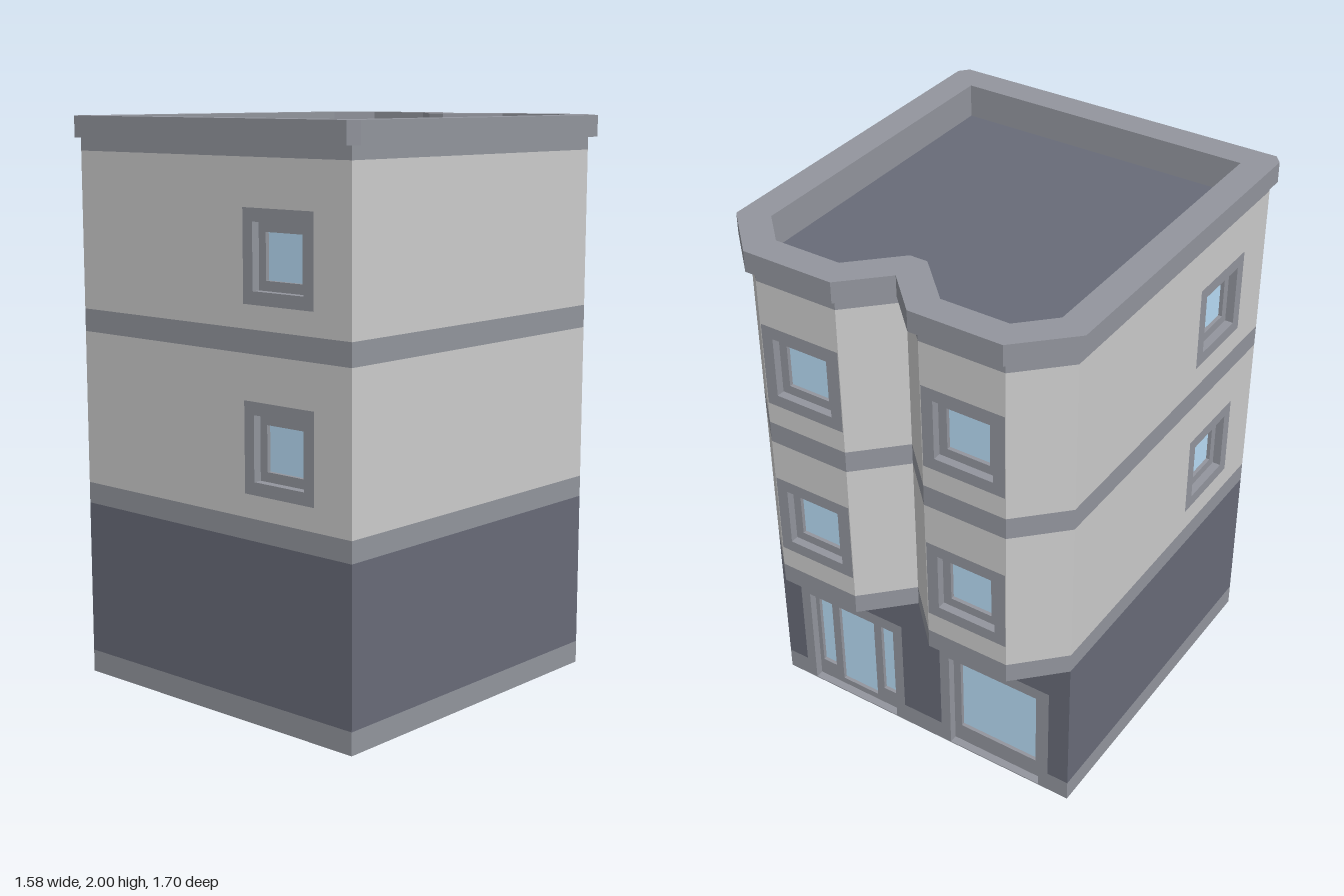
import * as THREE from 'three';
import { mergeGeometries } from 'three/addons/utils/BufferGeometryUtils.js';

const mat = (color, side = THREE.FrontSide) => new THREE.MeshStandardMaterial({ color, side });
const WALL = mat(0xcccccc), TRIM = mat(0x92959d), SLATE = mat(0x686b78), GLASS = mat(0xb8dcf6);
const SLATE_THIN = mat(0x686b78, THREE.DoubleSide);

const H = 0.626;        // half side of the square plan
const BAY = 0.783;      // depth of the bay fronts
const FLOOR = 0.63;     // underside of the upper storeys

// Plan points are [x, z]; right half listed from the side towards the middle, then mirrored.
const mirrored = half => [...half, ...half.filter(p => p[0] !== 0).reverse().map(([x, z]) => [-x, z])];
const groundPlan = mirrored([[H, H], [H, -H]]);
const upperPlan = mirrored([[H, H], [H, -H], [0.47, -BAY], [0.156, -BAY], [0, -H]]);
const capPlan = mirrored([[0.627, 0.653], [0.655, 0.62], [0.655, -0.641], [0.481, -0.814],
  [0.142, -0.814], [0, -0.673]]);
const innerPlan = mirrored([[0.547, 0.543], [0.547, -0.597], [0.437, -0.708], [0.189, -0.708], [0.033, -0.553]]);

const toVectors = (plan, s) => plan.map(([x, z]) => new THREE.Vector2(x, s * z));
const rect = (x0, y0, x1, y1) => [[x0, y0], [x1, y0], [x1, y1], [x0, y1]];

function shapeWithHoles(points, holes, s = 1) {
  const shape = new THREE.Shape(toVectors(points, s));
  holes.forEach(h => shape.holes.push(new THREE.Path(toVectors(h, s))));
  return shape;
}

function mesh(name, geometry, material) {
  const m = new THREE.Mesh(geometry, material);
  m.name = name;
  return m;
}

// Horizontal slab or ring standing on y
function slab(name, plan, holes, y, height, material) {
  const shape = shapeWithHoles(plan, holes, -1);
  const g = height
    ? new THREE.ExtrudeGeometry(shape, { depth: height, bevelEnabled: false })
    : new THREE.ShapeGeometry(shape);
  g.rotateX(-Math.PI / 2).translate(0, y, 0);
  return mesh(name, g, material);
}

// Upright plate with holes, its front at z
function plate(name, outline, holes, z, depth, material) {
  const g = new THREE.ExtrudeGeometry(shapeWithHoles(outline, holes), { depth, bevelEnabled: false });
  return mesh(name, g.translate(0, 0, z - depth), material);
}

// Surround, recessed frame and glass; o = { name, x, w, y0, y1, hole, panes }
function opening(o) {
  const g = new THREE.Group();
  g.name = o.name;
  g.position.x = o.x;
  const [x0, y0, x1, y1] = o.hole;
  const panes = o.panes.map(p => rect(...p));
  g.add(plate('surround', rect(-o.w / 2, o.y0, o.w / 2, o.y1), [rect(...o.hole)], 0, 0.032, TRIM));
  g.add(plate('frame', rect(x0, y0, x1, y1), panes, -0.03, 0.015, TRIM));
  const glass = new THREE.PlaneGeometry(x1 - x0, y1 - y0).translate((x0 + x1) / 2, (y0 + y1) / 2, -0.044);
  g.add(mesh('glass', glass, GLASS));
  return g;
}

const windowAt = (x, y) => ({
  name: 'window', x, w: 0.308, y0: y - 0.155, y1: y + 0.155,
  hole: [-0.111, y - 0.111, 0.111, y + 0.111],
  panes: [[-0.08, y - 0.078, 0.08, y + 0.078]],
});
const windows = x => [windowAt(x, 0.94), windowAt(x, 1.565)];

const entrance = {
  name: 'entrance', x: -H / 2, w: 0.46, y0: 0, y1: 0.473,
  hole: [-0.19, 0.004, 0.19, 0.427],
  panes: [[-0.173, 0.08, -0.113, 0.392], [-0.08, 0.03, 0.08, 0.392], [0.113, 0.08, 0.173, 0.392]],
};
const shopWindow = {
  name: 'shopWindow', x: H / 2, w: 0.46, y0: 0, y1: 0.473,
  hole: [-0.19, 0.004, 0.19, 0.427],
  panes: [[-0.16, 0.08, 0.16, 0.392]],
};

// Horizontal wall bands: [name, bottom, top, material]
const groundBands = [['plinth', 0, 0.08, TRIM], ['groundWall', 0.08, FLOOR, SLATE]];
const upperBands = [
  ['lowerStringCourse', FLOOR, 0.705, TRIM], ['middleWall', 0.705, 1.25, WALL],
  ['upperStringCourse', 1.25, 1.33, TRIM], ['topWall', 1.33, 1.88, WALL],
];

// Wall along one plan edge, cut into strips that leave the openings free
function wall(a, b, bands, openings) {
  const g = new THREE.Group();
  g.name = 'wall';
  const dx = b[0] - a[0], dz = b[1] - a[1], half = Math.hypot(dx, dz) / 2;
  g.position.set((a[0] + b[0]) / 2, 0, (a[1] + b[1]) / 2);
  g.rotation.y = Math.atan2(-dz, dx);
  for (const [name, low, high, material] of bands) {
    const cuts = openings.flatMap(o => [o.y0, o.y1]).filter(y => y > low && y < high);
    const ys = [...new Set([low, ...cuts, high])].sort((p, q) => p - q);
    const parts = [];
    for (let i = 0; i + 1 < ys.length; i++) {
      const mid = (ys[i] + ys[i + 1]) / 2;
      const gaps = openings.filter(o => o.y0 < mid && o.y1 > mid).sort((p, q) => p.x - q.x);
      const xs = [-half, ...gaps.flatMap(o => [o.x - o.w / 2, o.x + o.w / 2]), half];
      for (let j = 0; j < xs.length; j += 2) {
        parts.push(new THREE.PlaneGeometry(xs[j + 1] - xs[j], ys[i + 1] - ys[i])
          .translate((xs[j] + xs[j + 1]) / 2, mid, 0));
      }
    }
    g.add(mesh(name, mergeGeometries(parts), material));
  }
  openings.forEach(o => g.add(opening(o)));
  return g;
}

// One wall per plan edge, walked so that each wall faces outwards
function storey(name, plan, bands, openingsFor) {
  const g = new THREE.Group();
  g.name = name;
  plan.forEach((a, i) => {
    const b = plan[(i + 1) % plan.length];
    g.add(wall(a, b, bands, openingsFor(a, b)));
  });
  return g;
}

export function createModel() {
  const building = new THREE.Group();
  building.name = 'building';

  // Ground floor with entrance and shop window at the back
  building.add(storey('groundFloor', groundPlan, groundBands,
    (a, b) => (a[1] === -H && b[1] === -H ? [entrance, shopWindow] : [])));

  // Upper floors: windows on the front, the right side and both bays
  building.add(storey('upperFloors', upperPlan, upperBands, (a, b) => {
    if (a[1] === -BAY && b[1] === -BAY) return windows(0);
    if (a[1] === H && b[1] === H) return windows(H / 2);
    if (a[0] === -H && b[0] === -H) return windows(H / 2);
    return [];
  }));

  // Underside and bay soffits
  building.add(slab('underside', groundPlan, [], 0, 0, SLATE_THIN));
  for (const s of [-1, 1]) {
    const bay = [[H, -H], [0.47, -BAY], [0.156, -BAY], [0, -H]].map(([x, z]) => [s * x, z]);
    building.add(slab('baySoffit', bay, [], FLOOR, 0, SLATE_THIN));
  }

  // Flat roof, parapet and overhanging cap
  building.add(slab('roof', innerPlan, [], 1.88, 0, SLATE_THIN));
  building.add(slab('parapet', upperPlan, [innerPlan], 1.88, 0.045, TRIM));
  building.add(slab('parapetCap', capPlan, [innerPlan], 1.925, 0.075, TRIM));

  // The house stands turned on its plot
  building.rotation.y = THREE.MathUtils.degToRad(-14.5);
  building.position.set(-0.003, 0, 0.059);
  const model = new THREE.Group();
  model.name = 'cornerHouse';
  model.add(building);
  return model;
}
